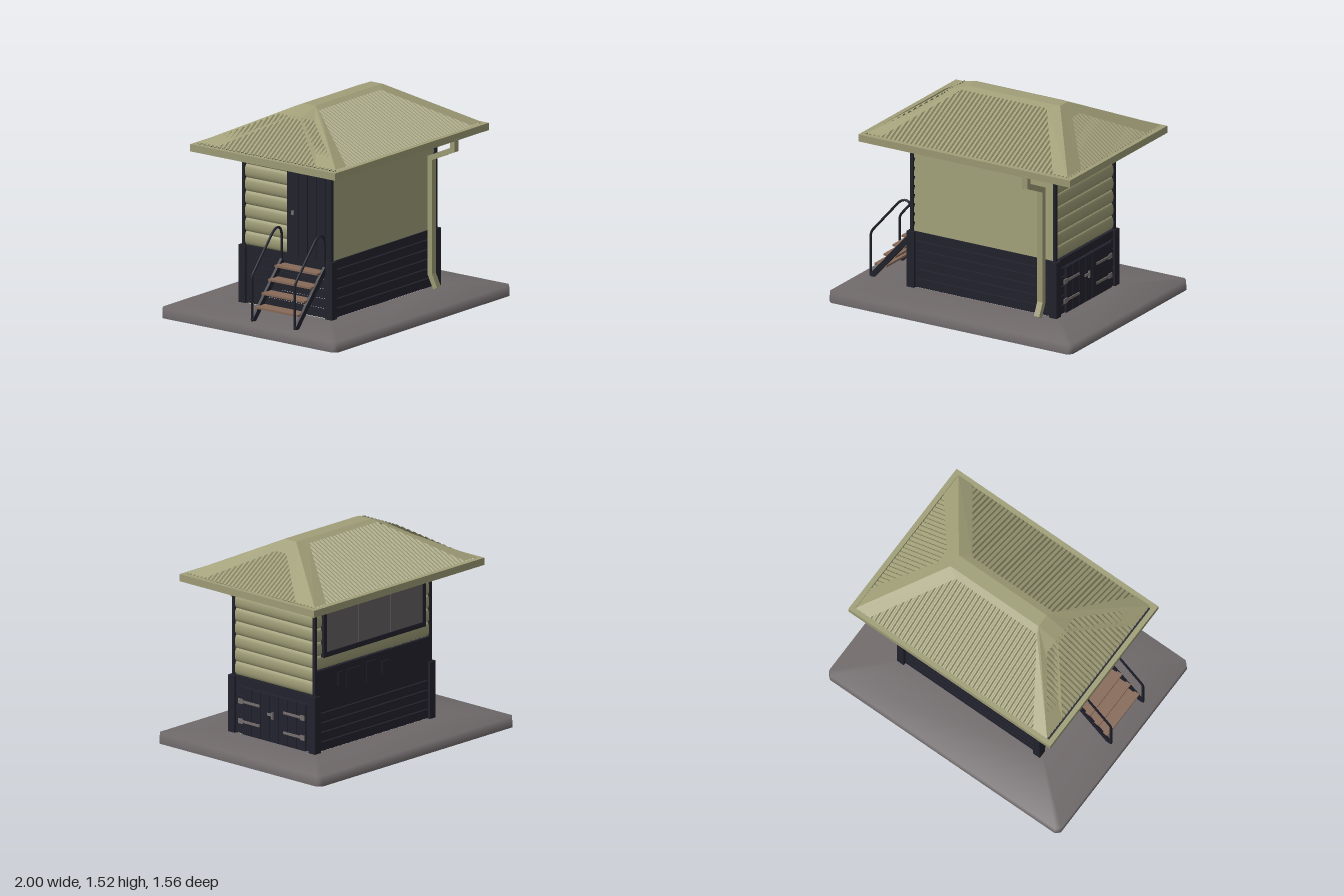
import * as THREE from 'three';

const mat = (name, color) => {
  const m = new THREE.MeshStandardMaterial({ color, side: THREE.DoubleSide });
  m.name = name;
  return m;
};

export function createModel() {
  const model = new THREE.Group();
  const olive = mat('olive paint', 0xa19f78);
  const dark = mat('dark blue timber', 0x23232f);
  const concrete = mat('grey ground', 0x6f696a);
  const glass = mat('grey glass', 0x676263);
  const metal = mat('grey metal', 0x77716f);
  const wood = mat('brown wood', 0x876a59);

  const add = (name, geo, material, parent = model) => {
    const m = new THREE.Mesh(geo, material);
    m.name = name;
    parent.add(m);
    return m;
  };
  // box given by its min and max on each axis
  const box = (name, x0, x1, y0, y1, z0, z1, material, parent) => {
    const m = add(name, new THREE.BoxGeometry(x1 - x0, y1 - y0, z1 - z0), material, parent);
    m.position.set((x0 + x1) / 2, (y0 + y1) / 2, (z0 + z1) / 2);
    return m;
  };
  // loose quads, each of four points
  const quads = (name, list, material) => {
    const pos = [];
    for (const [a, b, c, d] of list) pos.push(...a, ...b, ...c, ...a, ...c, ...d);
    const g = new THREE.BufferGeometry();
    g.setAttribute('position', new THREE.Float32BufferAttribute(pos, 3));
    g.computeVertexNormals();
    return add(name, g, material);
  };

  // ground slab: open shell with a hole under the hut
  const loop = (x0, x1, z, y, c) => [
    [x0 + c, y, z], [x1 - c, y, z], [x1, y, z - c], [x1, y, -z + c],
    [x1 - c, y, -z], [x0 + c, y, -z], [x0, y, -z + c], [x0, y, z - c]];
  const rings = [loop(-1, 1, 0.78, 0, 0.03), loop(-1, 1, 0.775, 0.075, 0.03), loop(-0.56, 0.64, 0.39, 0.086, 0.02)];
  const index = [];
  for (let r = 0; r < 2; r++) for (let i = 0; i < 8; i++) {
    const a = r * 8 + i, b = r * 8 + (i + 1) % 8;
    index.push(a, b, b + 8, a, b + 8, a + 8);
  }
  const slab = new THREE.BufferGeometry();
  slab.setAttribute('position', new THREE.Float32BufferAttribute(rings.flat(2), 3));
  slab.setIndex(index);
  slab.computeVertexNormals();
  add('groundSlab', slab, concrete);

  // corner posts
  for (const x of [-0.545, 0.628]) for (const z of [-0.385, 0.385]) {
    box('lowerPost', x - 0.03, x + 0.03, 0.08, 0.5, z - 0.03, z + 0.03, dark);
    box('upperPost', x - 0.012, x + 0.012, 0.5, 1.19, z - 0.012, z + 0.012, dark);
  }

  // slatted lower walls with narrow gaps
  for (let i = 0; i < 6; i++) {
    const y0 = 0.089 + i * 0.07, y1 = i === 5 ? 0.5 : y0 + 0.062;
    for (const s of [-1, 1]) box('slat', -0.53, 0.61, y0, y1, s * 0.385 - 0.01, s * 0.385 + 0.01, dark);
    for (const x of [-0.55, 0.632]) box('sideSlat', x - 0.01, x + 0.01, y0, y1, -0.37, 0.37, dark);
  }

  // front weatherboards, each leaning out at the foot
  for (let i = 0; i < 10; i++) {
    const b = box('weatherboard', -0.545, 0.628, 0.5 + i * 0.068, 0.57 + i * 0.068, 0.372, 0.382, olive);
    b.rotation.x = -0.13;
  }

  // rounded siding: half-round boards facing outward
  const siding = (length, y0, y1, n, x, z, turn) => {
    const h = (y1 - y0) / n;
    for (let i = 0; i < n; i++) {
      const g = new THREE.CylinderGeometry(h / 2, h / 2, length, 10, 1, true, -Math.PI / 2, Math.PI);
      g.rotateZ(Math.PI / 2).scale(1, 1, 0.4).rotateY(turn);
      add('sidingBoard', g, olive).position.set(x, y0 + h * (i + 0.5), z);
    }
  };
  siding(0.76, 0.5, 1.18, 7, 0.615, 0, Math.PI / 2);
  siding(0.4, 0.5, 1.18, 7, -0.535, -0.18, -Math.PI / 2);
  siding(1.17, 0.68, 1.18, 5, 0.04, -0.372, Math.PI);

  // entrance door of upright boards
  box('doorFrame', -0.555, -0.53, 0.45, 1.18, 0.0, 0.38, dark);
  for (let i = 0; i < 4; i++) box('doorBoard', -0.562, -0.55, 0.47, 1.14, 0.035 + i * 0.078, 0.108 + i * 0.078, dark);
  box('doorHandle', -0.572, -0.56, 0.79, 0.82, 0.05, 0.07, metal);

  // back window and panels
  box('windowFrame', -0.48, 0.56, 0.77, 1.17, -0.402, -0.38, dark);
  for (const [y0, y1] of [[0.77, 0.805], [1.135, 1.17]]) box('frameRail', -0.48, 0.56, y0, y1, -0.412, -0.4, dark);
  for (const x of [-0.48, 0.53]) box('frameStile', x, x + 0.03, 0.77, 1.17, -0.412, -0.4, dark);
  for (let i = 0; i < 3; i++) box('pane', -0.448 + i * 0.326, -0.126 + i * 0.326, 0.806, 1.134, -0.406, -0.4, glass);
  box('backPanel', -0.54, 0.62, 0.4, 0.68, -0.398, -0.375, dark);
  for (const [x, y, w, h] of [[0.18, 0.5, 0.14, 0.13], [0.02, 0.48, 0.1, 0.16], [-0.12, 0.52, 0.08, 0.09], [0.35, 0.53, 0.06, 0.1]])
    box('hatch', x, x + w, y, y + h, -0.406, -0.397, dark);

  // double doors with strap hinges on the side
  for (let i = 0; i < 7; i++)
    box('cupboardBoard', 0.638, 0.655, 0.09, 0.43, -0.32 + i * 0.0865, -0.237 + i * 0.0865, dark);
  for (const y of [0.185, 0.33]) for (const s of [-1, 1]) {
    const strap = box('hingeStrap', 0.655, 0.662, y - 0.009, y + 0.009, -0.1, 0.1, metal);
    strap.position.z = s * 0.215;
    const leaf = box('hingeLeaf', 0.655, 0.663, y - 0.018, y + 0.018, -0.02, 0.02, metal);
    leaf.position.z = s * 0.295;
  }
  box('latchBar', 0.655, 0.664, 0.28, 0.298, -0.02, 0.04, metal);
  box('latch', 0.655, 0.668, 0.26, 0.31, -0.02, -0.005, metal);

  // eaves: dark soffit, battens and olive gutter
  box('soffit', -0.81, 0.89, 1.19, 1.2, -0.62, 0.62, dark);
  box('wallPlate', -0.56, 0.64, 1.17, 1.19, -0.395, -0.375, dark);
  box('wallPlate', -0.56, 0.64, 1.17, 1.19, 0.375, 0.395, dark);
  for (const x of [-0.55, 0.63]) box('wallPlate', x - 0.01, x + 0.01, 1.17, 1.19, -0.39, 0.39, dark);
  for (let i = 0; i < 3; i++) for (const s of [-1, 1]) {
    const z = s * (0.43 + i * 0.07), x = 0.04 + s * (0.64 + i * 0.07);
    box('soffitBatten', -0.72, 0.8, 1.18, 1.19, z - 0.02, z + 0.02, dark);
    box('soffitBatten', x - 0.02, x + 0.02, 1.18, 1.19, -0.4, 0.4, dark);
  }
  for (const s of [-1, 1]) {
    box('gutter', -0.83, 0.91, 1.188, 1.24, s * 0.625 - 0.018, s * 0.625 + 0.018, olive);
    const x = 0.04 + s * 0.852;
    box('gutter', x - 0.018, x + 0.018, 1.188, 1.24, -0.642, 0.642, olive);
  }

  // corrugated roof slopes: square ribs cut off along the hips
  const slope = (u0, u1, reach, place) => {
    const list = [], n = Math.round((u1 - u0) / 0.034) * 4, wave = [0, 0.012, 0.012, 0];
    for (let i = 0; i < n; i++) {
      const a = u0 + (u1 - u0) * i / n, b = u0 + (u1 - u0) * (i + 1) / n;
      const ha = wave[i % 4], hb = wave[(i + 1) % 4];
      list.push([place(a, 0, ha), place(b, 0, hb), place(b, reach(b), hb), place(a, reach(a), ha)]);
    }
    quads('corrugatedSlope', list, olive);
  };
  for (const s of [-1, 1]) {
    slope(-0.78, 0.87, u => Math.min(0.55, (u + 0.78) * 1.167, (0.87 - u) * 1.366),
      (u, d, h) => [u, 1.228 + 0.5 * d + h, s * (0.61 - d)]);
    slope(-0.61, 0.61, u => Math.min(0.33, (0.61 - Math.abs(u)) * 0.73),
      (u, d, h) => [s > 0 ? 0.87 - d : -0.78 + d, 1.228 + 0.69 * d + h, u]);
  }

  // ridge and hip cappings
  const ends = [
    { eave: -0.78, inner: -0.66, cap: -0.32, ridge: -0.30, side: -0.47 },
    { eave: 0.87, inner: 0.75, cap: 0.38, ridge: 0.46, side: 0.56 }];
  const caps = [];
  for (const e of ends) {
    const T = s => [e.ridge, 1.52, s * 0.05], D = s => [e.side, 1.455, s * 0.05];
    for (const s of [-1, 1]) {
      const A = [e.eave, 1.25, s * 0.61];
      caps.push([A, [e.inner, 1.25, s * 0.61], [e.cap, 1.502, s * 0.1], T(s)]);
      caps.push([[e.eave, 1.25, s * 0.43], A, T(s), D(s)]);
    }
    caps.push([D(1), T(1), T(-1), D(-1)]);
  }
  const [l, r] = ends;
  for (const s of [-1, 1])
    caps.push([[l.cap, 1.502, s * 0.1], [r.cap, 1.502, s * 0.1], [r.ridge, 1.52, s * 0.05], [l.ridge, 1.52, s * 0.05]]);
  caps.push([[l.ridge, 1.52, 0.05], [r.ridge, 1.52, 0.05], [r.ridge, 1.52, -0.05], [l.ridge, 1.52, -0.05]]);
  quads('roofCapping', caps, olive);

  // downpipe: bent outline in z and y, extruded across x
  const pipe = new THREE.Shape([
    [0.645, 1.2], [0.645, 1.11], [0.445, 1.02], [0.445, 0.2], [0.49, 0.105], [0.455, 0.088],
    [0.405, 0.19], [0.405, 1.045], [0.605, 1.135], [0.605, 1.2]].map(p => new THREE.Vector2(...p)));
  const pipeGeo = new THREE.ExtrudeGeometry(pipe, { depth: 0.044, bevelEnabled: false });
  pipeGeo.rotateY(-Math.PI / 2).translate(0.562, 0, 0);
  add('downpipe', pipeGeo, olive);

  // entrance steps
  for (let i = 0; i < 4; i++) {
    const x = -0.88 + i * 0.074, y = 0.165 + i * 0.084;
    box('tread', x, x + 0.1, y, y + 0.014, -0.03, 0.35, wood);
  }
  for (const z of [-0.03, 0.35]) {
    const stringer = box('stringer', -0.25, 0.25, -0.02, 0.02, z - 0.01, z + 0.01, dark);
    stringer.position.set(-0.735, 0.265, z);
    stringer.rotation.z = 0.84;
    // bent handrail
    const path = new THREE.CurvePath();
    const v = (x, y) => new THREE.Vector3(x, y, z);
    path.add(new THREE.LineCurve3(v(-0.91, 0.08), v(-0.91, 0.38)));
    path.add(new THREE.QuadraticBezierCurve3(v(-0.91, 0.38), v(-0.91, 0.41), v(-0.885, 0.435)));
    path.add(new THREE.LineCurve3(v(-0.885, 0.435), v(-0.69, 0.66)));
    path.add(new THREE.CubicBezierCurve3(v(-0.69, 0.66), v(-0.64, 0.715), v(-0.58, 0.715), v(-0.575, 0.63)));
    path.add(new THREE.LineCurve3(v(-0.575, 0.63), v(-0.575, 0.42)));
    add('handrail', new THREE.TubeGeometry(path, 60, 0.009, 8), dark);
  }
  return model;
}
